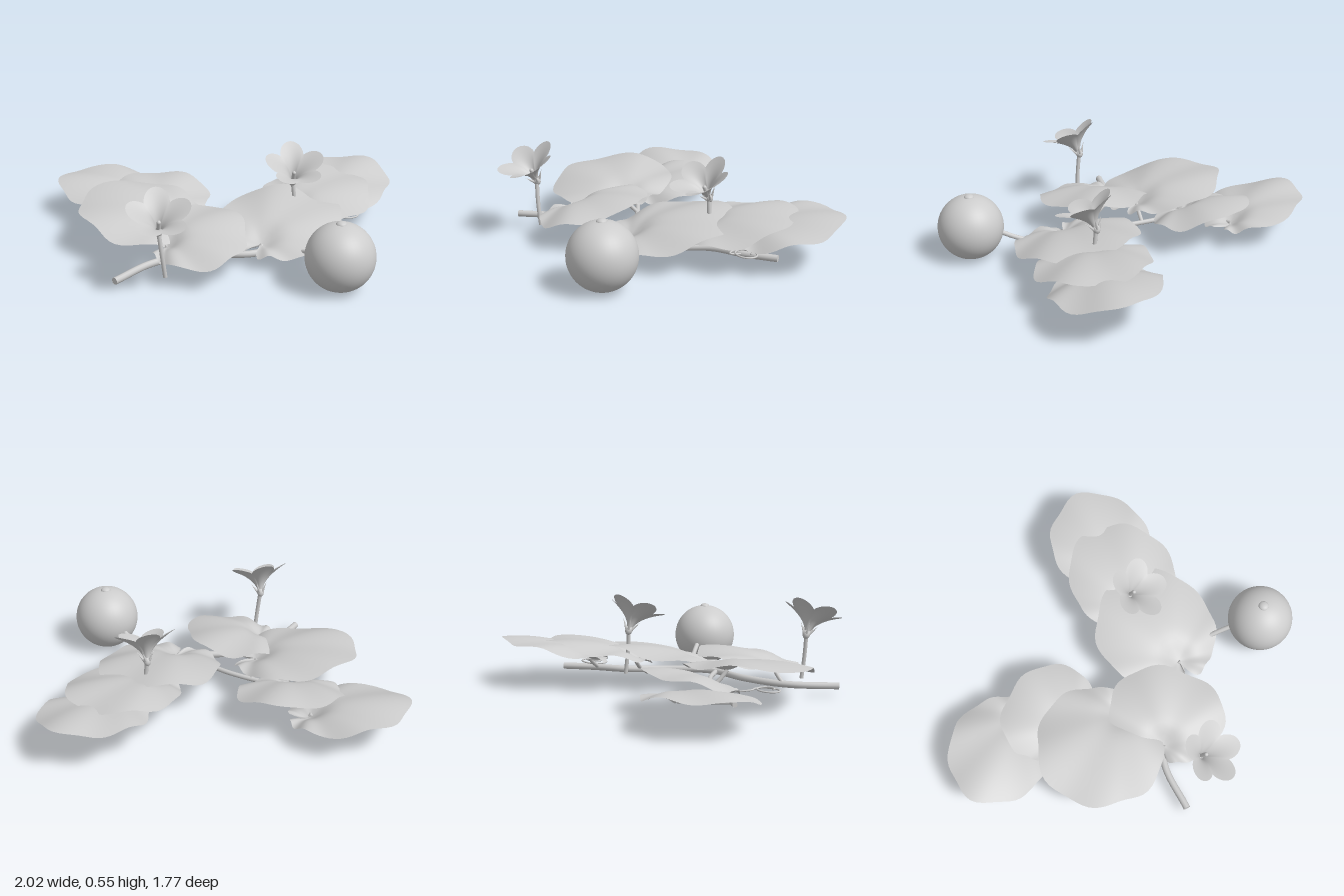
import * as THREE from 'three';

const grey = new THREE.MeshStandardMaterial({ color: 0xcccccc, side: THREE.DoubleSide });
grey.name = 'plainGrey';

const V = (p) => new THREE.Vector3(...p);

function add(parent, name, geometry) {
  const mesh = new THREE.Mesh(geometry, grey);
  mesh.name = name;
  parent.add(mesh);
  return mesh;
}

// round stem through a few points, with closed ends
function stem(parent, name, points, radius, segments = 32) {
  const group = new THREE.Group();
  group.name = name;
  const curve = new THREE.CatmullRomCurve3(points.map(V));
  add(group, name + 'Tube', new THREE.TubeGeometry(curve, segments, radius, 10));
  for (const t of [0, 1]) {
    const cap = add(group, name + 'End', new THREE.CircleGeometry(radius, 10));
    cap.position.copy(curve.getPoint(t));
    const out = curve.getTangent(t).multiplyScalar(t ? 1 : -1);
    cap.quaternion.setFromUnitVectors(new THREE.Vector3(0, 0, 1), out);
  }
  parent.add(group);
}

// sheet of concentric rings; place(t, angle) gives each point
function ringSheet(rings, sides, place) {
  const pos = [], index = [];
  for (let i = 0; i <= rings; i++) {
    for (let j = 0; j < sides; j++) {
      pos.push(...place(i / rings, (j / sides) * Math.PI * 2 - Math.PI));
      if (i === rings) continue;
      const a = i * sides + j, b = i * sides + ((j + 1) % sides);
      index.push(a, b, a + sides, b, b + sides, a + sides);
    }
  }
  const g = new THREE.BufferGeometry();
  g.setAttribute('position', new THREE.Float32BufferAttribute(pos, 3));
  g.setIndex(index);
  g.computeVertexNormals();
  return g;
}

// rounded, notched leaf growing from its stalk point along an angle (x towards -z)
function leaf(parent, { at, len, wide, angle, root, seed }) {
  const c = 0.62;
  const ca = Math.cos(angle), sa = Math.sin(angle);
  const place = (t, th) => {
    // distance from the stalk to the unit outline, with a notch behind it
    const k = c * Math.cos(th);
    let r = k + Math.sqrt(1 - c * c + k * k);
    const back = Math.PI - Math.abs(th);
    r *= 1 - 0.85 * Math.exp(-((back / 0.2) ** 2));
    r *= 1 + 0.02 * Math.cos(11 * th + seed) + 0.015 * Math.cos(5 * th + seed * 2);
    const u = t * r * Math.cos(th) - c, v = t * r * Math.sin(th);
    const x = u * len * ca - v * wide * sa;
    const z = -u * len * sa - v * wide * ca;
    const rho = u * u + v * v;
    const y = at[1] + 0.025 - 0.05 * rho + 0.035 * u - 0.13 * z
      - 0.05 * Math.exp(-((t * r / 0.25) ** 2))
      + 0.014 * t * t * Math.cos(7 * th + seed);
    return [at[0] + x, y, at[2] + z];
  };
  add(parent, 'leafBlade', ringSheet(16, 88, place));
  const p = place(0, 0);
  const mid = [(p[0] + root[0]) / 2, p[1] * 0.45 + root[1] * 0.55, (p[2] + root[2]) / 2];
  stem(parent, 'leafStalk', [root, mid, p], 0.012, 14);
}

// five-lobed trumpet flower, tipped forwards on an upright stalk
function flower(parent, x, z) {
  const group = new THREE.Group();
  group.name = 'flower';
  stem(group, 'flowerStalk', [[0.03, 0.07, 0], [0.015, 0.2, 0.005], [0, 0.34, 0]], 0.012, 10);
  const head = new THREE.Group();
  head.name = 'flowerHead';
  head.position.y = 0.335;
  head.rotation.x = 0.46;
  group.add(head);
  add(head, 'petals', ringSheet(14, 80, (t, th) => {
    const lobe = Math.pow(Math.abs(Math.cos(2.5 * th)), 0.9);
    const r = 0.012 + 0.05 * t + (0.055 + 0.06 * lobe) * t * t;
    const h = 0.15 * Math.pow(t, 0.8) + t * t * (0.035 * lobe - 0.025);
    return [r * Math.sin(th), h, -r * Math.cos(th)];
  }));
  const pistil = add(head, 'pistil', new THREE.CapsuleGeometry(0.012, 0.05, 4, 10));
  pistil.position.y = 0.05;
  const cup = add(head, 'flowerBase', new THREE.SphereGeometry(0.022, 14, 10));
  cup.scale.y = 1.3;
  for (let i = 0; i < 5; i++) {
    const a = (i / 5) * Math.PI * 2;
    const sepal = add(head, 'sepal', new THREE.ConeGeometry(0.009, 0.07, 6));
    sepal.position.set(Math.sin(a) * 0.035, 0.03, Math.cos(a) * 0.035);
    sepal.rotation.set(0.6, a, 0, 'YXZ');
  }
  group.position.set(x, 0, z);
  parent.add(group);
}

// thin curling tendril lying near the ground
function tendril(parent, root, x, z, turn) {
  const points = [root];
  for (let i = 0; i <= 20; i++) {
    const a = turn + i * 0.5, r = 0.09 - i * 0.0025;
    points.push([x + r * Math.cos(a), 0.1 + i * 0.0008, z + r * 0.8 * Math.sin(a)]);
  }
  stem(parent, 'tendril', points, 0.005, 80);
}

export function createModel() {
  const model = new THREE.Group();
  model.name = 'melonVine';

  // creeping stems
  stem(model, 'mainStem', [[-0.77, 0.065, 0.5], [-0.54, 0.07, 0.32], [-0.27, 0.075, 0.27],
    [0.02, 0.075, 0.31], [0.22, 0.075, 0.2], [0.42, 0.08, -0.02], [0.6, 0.08, -0.1],
    [0.77, 0.08, -0.2]], 0.02, 64);
  stem(model, 'sideStem', [[-0.02, 0.075, 0.3], [-0.18, 0.085, 0.06], [-0.42, 0.08, -0.14],
    [-0.66, 0.08, -0.3]], 0.014, 40);

  // leaves
  const leaves = [
    { at: [-0.68, 0.19, -0.6], len: 0.33, wide: 0.29, angle: 2.9, root: [-0.6, 0.08, -0.27] },
    { at: [-0.42, 0.21, -0.38], len: 0.25, wide: 0.3, angle: 1.2, root: [-0.48, 0.08, -0.18] },
    { at: [-0.56, 0.25, -0.05], len: 0.355, wide: 0.36, angle: 2.85, root: [-0.3, 0.085, -0.05] },
    { at: [-0.29, 0.22, 0.28], len: 0.275, wide: 0.335, angle: 0.1, root: [-0.52, 0.07, 0.31] },
    { at: [0.69, 0.24, -0.33], len: 0.31, wide: 0.3, angle: 0.8, root: [0.58, 0.08, -0.09] },
    { at: [0.49, 0.24, -0.15], len: 0.33, wide: 0.32, angle: 0.5, root: [0.36, 0.08, 0.05] },
    { at: [0.22, 0.2, 0.11], len: 0.36, wide: 0.355, angle: 0.85, root: [0.06, 0.075, 0.31] },
  ];
  leaves.forEach((l, i) => leaf(model, { ...l, seed: i * 1.7 }));

  // flowers
  flower(model, -0.53, 0.51);
  flower(model, 0.33, -0.08);

  // round fruit with a small nub on top and its stalk
  const fruit = add(model, 'fruit', new THREE.SphereGeometry(0.19, 40, 28));
  fruit.position.set(0.41, 0.2, 0.7);
  const nub = add(model, 'fruitNub', new THREE.SphereGeometry(0.03, 16, 10));
  nub.position.set(0.41, 0.385, 0.7);
  nub.scale.y = 0.6;
  stem(model, 'fruitStalk', [[0.12, 0.08, 0.28], [0.22, 0.095, 0.36], [0.29, 0.13, 0.46],
    [0.35, 0.18, 0.57]], 0.014, 24);

  // tendrils
  tendril(model, [-0.42, 0.08, -0.14], -0.64, 0, -0.5);
  tendril(model, [0.6, 0.08, -0.1], 0.66, -0.06, 2.4);

  return model;
}
